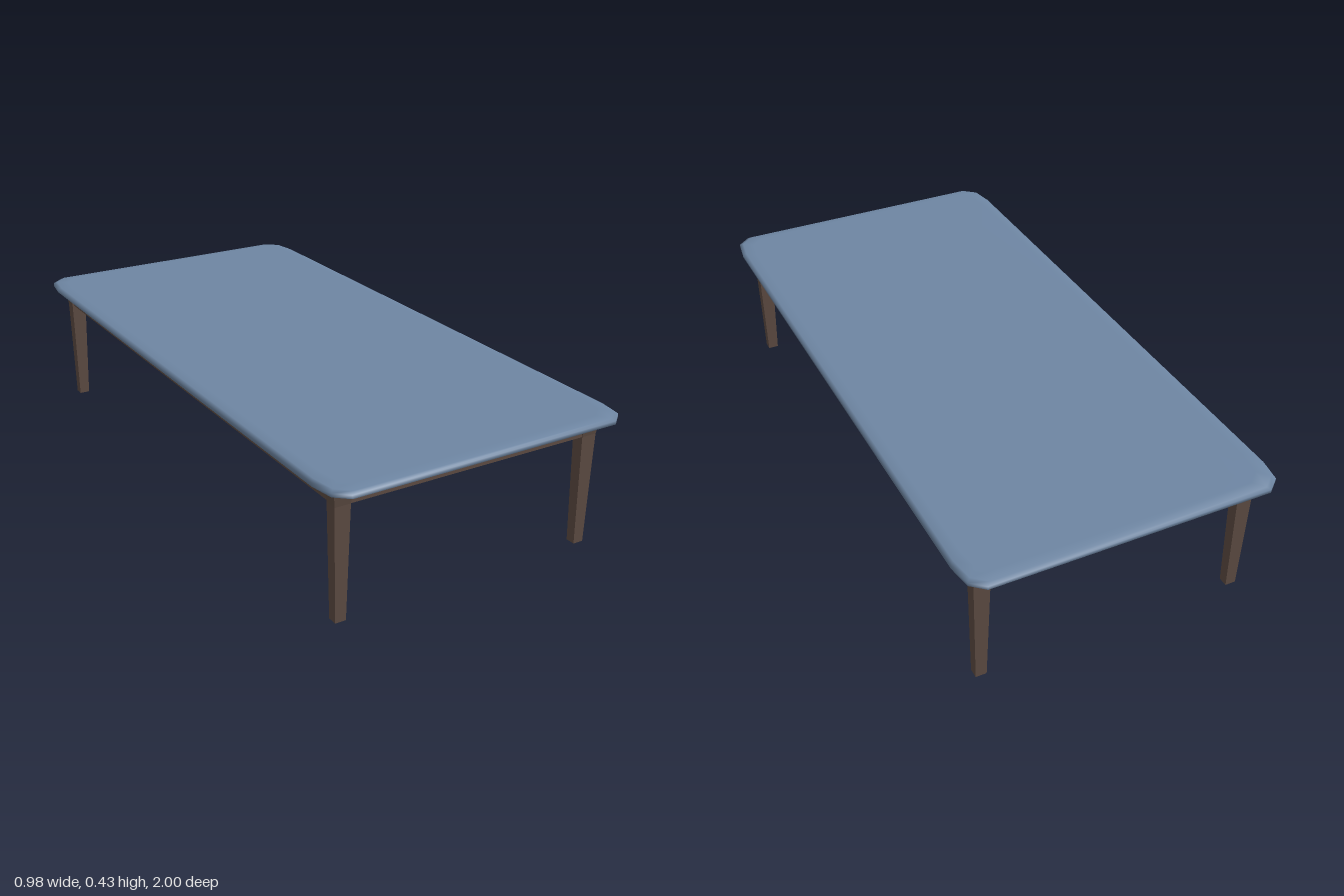
import * as THREE from 'three';

const wood = new THREE.MeshStandardMaterial({ color: 0x5f4d44, flatShading: true });
const blue = new THREE.MeshStandardMaterial({ color: 0x6e86a3 });

// Slab with clipped corners and a softly rounded rim, lofted from inset outlines
function slabGeometry() {
  const corner = [[0.49, 0.89], [0.478, 0.965], [0.437, 1.0]];
  const outline = [];
  for (const [sx, sz] of [[1, -1], [-1, -1], [-1, 1], [1, 1]]) {
    const pts = sx * sz < 0 ? corner : [...corner].reverse();
    for (const [x, z] of pts) outline.push([sx, sz, x, z]);
  }
  const rings = [[0.008, 0.405], [0, 0.41], [0, 0.421], [0.01, 0.427], [0.04, 0.43]]; // inset, y
  const n = outline.length, pos = [], idx = [];
  for (const [d, y] of rings)
    for (const [sx, sz, x, z] of outline) pos.push(sx * (x - d), y, sz * (z - d));
  const bottom = rings.length * n, top = bottom + 1, last = (rings.length - 1) * n;
  pos.push(0, 0.405, 0, 0, 0.43, 0);
  for (let i = 0; i < n; i++) {
    const j = (i + 1) % n;
    for (let r = 0; r < last; r += n)
      idx.push(r + i, r + j, r + n + j, r + i, r + n + j, r + n + i);
    idx.push(top, last + i, last + j, bottom, j, i);
  }
  const g = new THREE.BufferGeometry();
  g.setAttribute('position', new THREE.Float32BufferAttribute(pos, 3));
  g.setIndex(idx);
  g.computeVertexNormals();
  return g;
}

// Square leg that tapers to the floor and flares where it meets the top
function legGeometry(sx, sz) {
  const levels = [ // y, centre x, width x, centre z, width z
    [0, 0.416, 0.034, 0.905, 0.03],
    [0.35, 0.416, 0.05, 0.903, 0.038],
    [0.407, 0.418, 0.06, 0.907, 0.046],
  ];
  const g = new THREE.BoxGeometry(1, 1, 1, 1, 2, 1);
  const p = g.attributes.position;
  for (let i = 0; i < p.count; i++) {
    const [y, cx, wx, cz, wz] = levels[Math.round((p.getY(i) + 0.5) * 2)];
    p.setXYZ(i, sx * cx + p.getX(i) * wx, y, sz * cz + p.getZ(i) * wz);
  }
  g.computeVertexNormals();
  return g;
}

export function createModel() {
  const group = new THREE.Group();
  const add = (name, geometry, material) => {
    const mesh = new THREE.Mesh(geometry, material);
    mesh.name = name;
    group.add(mesh);
    return mesh;
  };

  add('tableTop', slabGeometry(), blue);

  // Apron rails and legs, mirrored on both axes
  for (const s of [1, -1]) {
    const end = s > 0 ? 'front' : 'back', side = s > 0 ? 'left' : 'right';
    add(end + 'Rail', new THREE.BoxGeometry(0.79, 0.057, 0.036), wood).position.set(0, 0.3785, s * 0.903);
    add(side + 'Rail', new THREE.BoxGeometry(0.04, 0.057, 1.78), wood).position.set(s * 0.415, 0.3785, 0);
    for (const t of [1, -1])
      add(end + (t > 0 ? 'Left' : 'Right') + 'Leg', legGeometry(t, s), wood);
  }
  return group;
}
